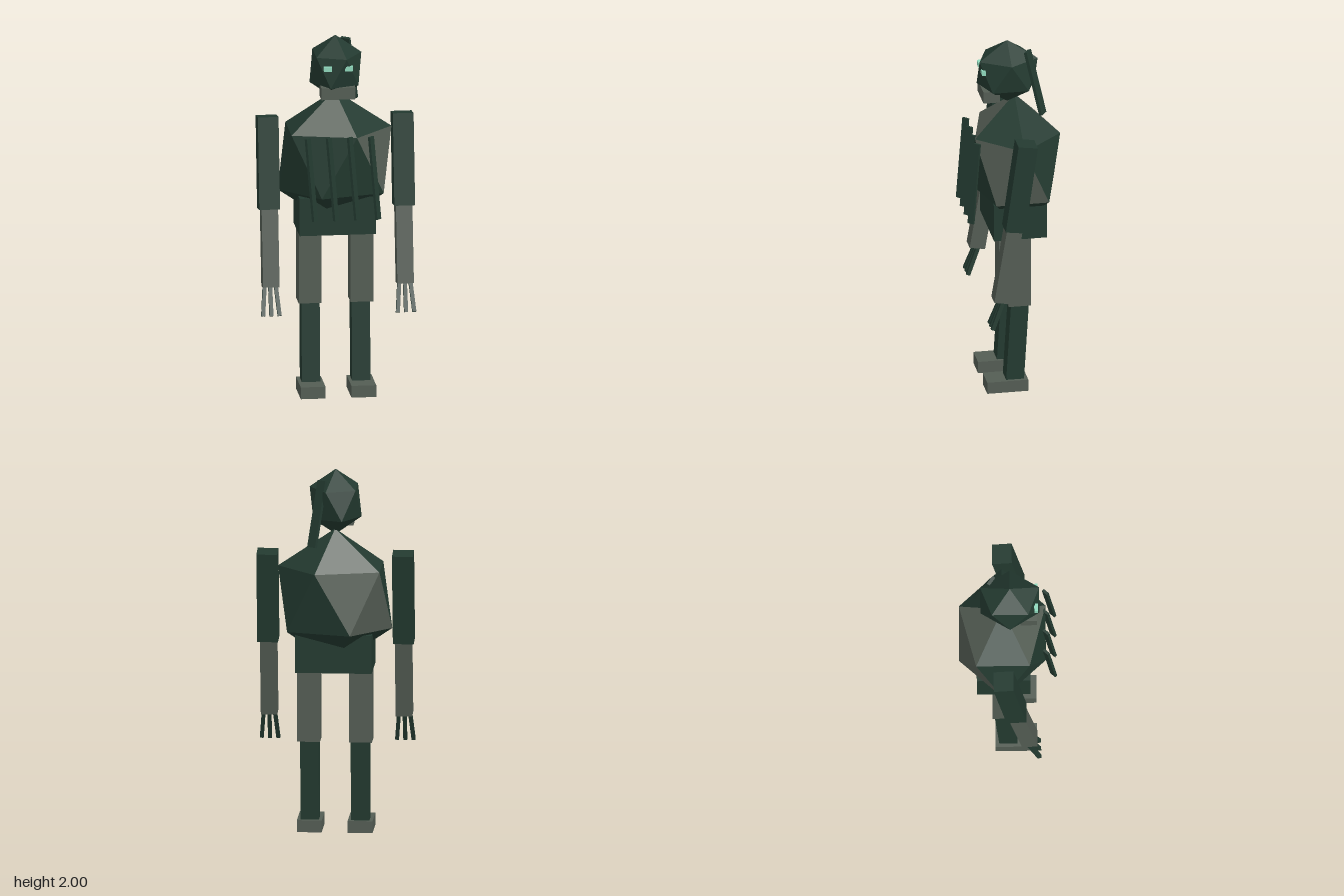
import * as THREE from 'three';

export function createModel() {
  const model = new THREE.Group();
  const mat = (name, color) => {
    const m = new THREE.MeshStandardMaterial({ color, flatShading: true });
    m.name = name;
    return m;
  };
  const green = mat('darkGreen', 0x233a30);
  const grey = mat('stoneGrey', 0x545d54);
  const mint = mat('mintGlow', 0x8fd8bc);

  const add = (name, geometry, material) => {
    const mesh = new THREE.Mesh(geometry, material);
    mesh.name = name;
    model.add(mesh);
    return mesh;
  };
  // Box by centre and size, optionally tilted about x
  const box = (name, material, [x, y, z], size, tilt = 0) => {
    const m = add(name, new THREE.BoxGeometry(...size), material);
    m.position.set(x, y, z);
    m.rotation.x = tilt;
    return m;
  };
  // Slim bar between two points, with its width along a given direction
  const bar = (name, material, from, to, width, depth, across) => {
    const a = new THREE.Vector3(...from), b = new THREE.Vector3(...to);
    const y = a.clone().sub(b), length = y.length();
    y.normalize();
    const x = new THREE.Vector3(...across);
    x.addScaledVector(y, -x.dot(y)).normalize();
    const z = new THREE.Vector3().crossVectors(x, y);
    const m = add(name, new THREE.BoxGeometry(width, length, depth), material);
    m.quaternion.setFromRotationMatrix(new THREE.Matrix4().makeBasis(x, y, z));
    m.position.copy(a.add(b).multiplyScalar(0.5));
    return m;
  };
  // Upright icosahedron; isGrey(row, i) picks the material of each facet
  const facetBall = (name, [cx, cy, cz], [rx, ry, rz], isGrey) => {
    const point = (h, r, turn) => [
      cx + rx * r * Math.cos(turn * Math.PI / 5), cy + ry * h, cz + rz * r * Math.sin(turn * Math.PI / 5)];
    const U = (i) => point(0.447, 0.894, 2 * i);
    const L = (i) => point(-0.447, 0.894, 2 * i + 1);
    const T = point(1, 0, 0), B = point(-1, 0, 0);
    const positions = [], g = new THREE.BufferGeometry();
    for (let i = 0; i < 5; i++) {
      const rows = [
        [T, U(i + 1), U(i)],
        [U(i), U(i + 1), L(i)],
        [U(i + 1), L(i + 1), L(i)],
        [B, L(i), L(i + 1)],
      ];
      rows.forEach((face, row) => {
        g.addGroup(positions.length / 3, 3, isGrey(row, i) ? 1 : 0);
        positions.push(...face.flat());
      });
    }
    g.setAttribute('position', new THREE.Float32BufferAttribute(positions, 3));
    g.computeVertexNormals();
    return add(name, g, [green, grey]);
  };

  // Torso with grey facets, and hips
  const greyFacets = ['0-1', '0-3', '1-0', '1-3', '2-4', '2-2'];
  facetBall('torso', [0, 1.3, -0.03], [0.347, 0.378, 0.276], (row, i) => greyFacets.includes(`${row}-${i}`));
  box('hips', green, [0, 1.01, -0.025], [0.415, 0.21, 0.29]);

  // Head, jaw, eyes and hair strand
  facetBall('head', [0, 1.82, 0.01], [0.158, 0.18, 0.188], () => false);
  box('jaw', grey, [0, 1.708, 0.112], [0.185, 0.066, 0.09]);
  for (const s of [-1, 1]) box('eye', mint, [s * 0.057, 1.847, 0.152], [0.044, 0.026, 0.02]);
  bar('hairStrand', green, [0.065, 1.955, -0.09], [0.116, 1.6, -0.165], 0.055, 0.018, [0.045, 0, 0.033]);

  // Four hanging strips on the chest
  for (let i = 0; i < 4; i++) {
    const x = -0.174 + i * 0.115;
    bar('chestStrip', green, [x, 1.475, 0.205], [x + 0.035, 1.022, 0.247], 0.036, 0.015, [0.025, 0, -0.028]);
  }

  for (const s of [-1, 1]) {
    // Arm
    box('upperArm', green, [s * 0.368, 1.295, 0.007], [0.113, 0.505, 0.108], -0.14);
    box('forearm', grey, [s * 0.366, 0.835, 0.079], [0.09, 0.425, 0.086], -0.165);
    for (const f of [-1, 0, 1]) {
      bar('finger', green, [s * 0.367 + f * 0.03, 0.635, 0.105], [s * 0.367 + f * 0.045, 0.474, 0.166],
        0.021, 0.021, [1, 0, 0]);
    }
    // Leg
    box('thigh', grey, [s * 0.141, 0.72, -0.023], [0.124, 0.43, 0.124]);
    box('shin', green, [s * 0.137, 0.29, -0.013], [0.1, 0.47, 0.098], -0.06);
    box('foot', grey, [s * 0.138, 0.033, 0.044], [0.135, 0.066, 0.226]);
  }
  return model;
}
